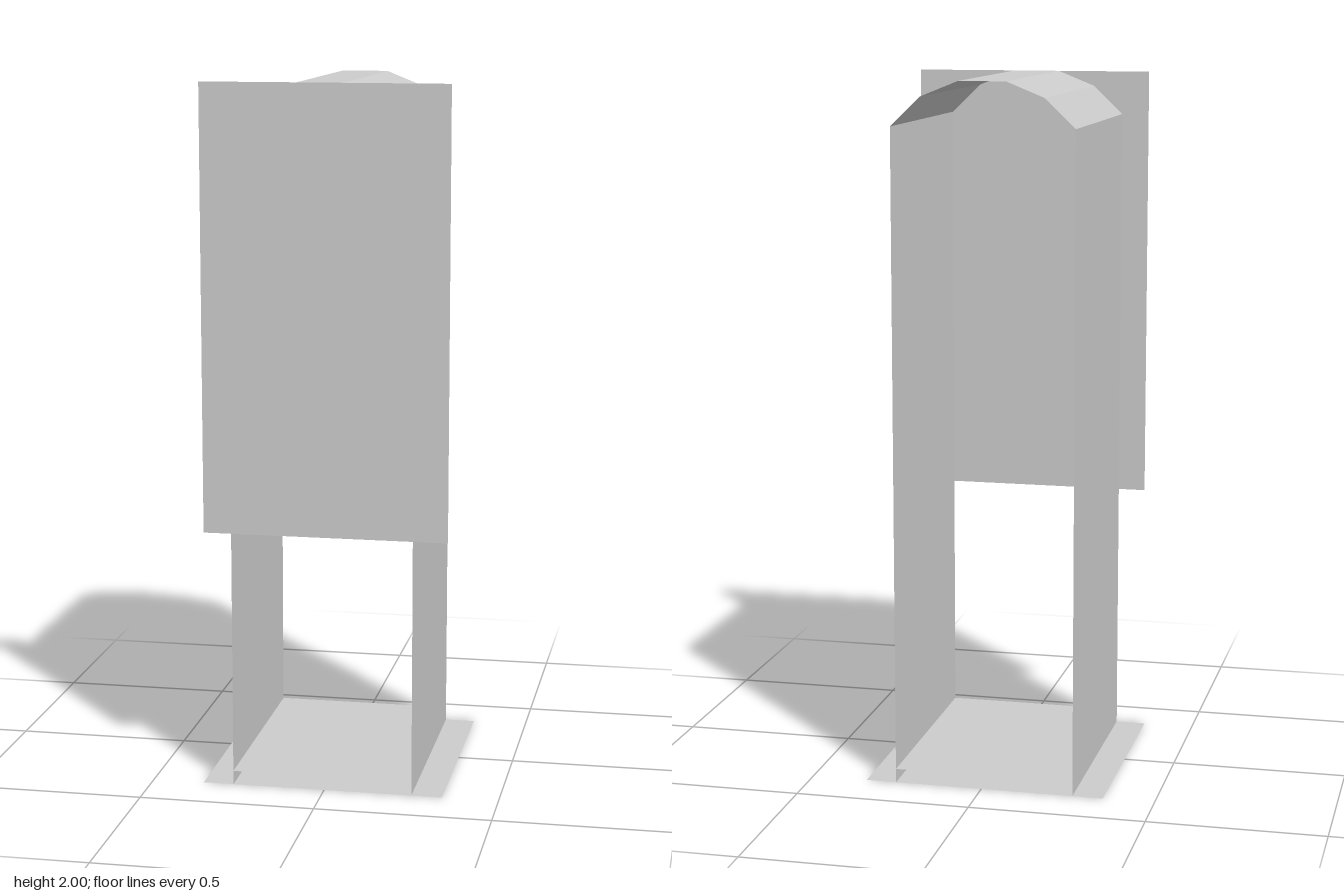
import * as THREE from 'three';

const DEPTH = 0.692;
const MID = -0.0065;   // x of the centre line between the walls
const HALF = 0.2585;   // half the distance between the walls
const EAVES = 1.875;   // height at which the arch springs

export function createModel() {
  const group = new THREE.Group();
  const material = new THREE.MeshStandardMaterial({
    color: 0xcccccc, flatShading: true, side: THREE.DoubleSide,
  });

  const add = (name, geometry, x, y, z) => {
    const mesh = new THREE.Mesh(geometry, material);
    mesh.name = name;
    mesh.position.set(x, y, z);
    group.add(mesh);
    return mesh;
  };
  const level = (width) => new THREE.PlaneGeometry(width, DEPTH).rotateX(-Math.PI / 2);

  // Base sheet and the slightly raised floor between the walls
  add('base', level(0.692), MID, 0, 0);
  add('innerFloor', level(2 * HALF), MID, 0.04, 0);

  // Side walls
  for (const [name, side] of [['leftWall', 1], ['rightWall', -1]]) {
    const wall = new THREE.PlaneGeometry(DEPTH, EAVES).rotateY(side * Math.PI / 2);
    add(name, wall, MID + side * HALF, EAVES / 2, 0);
  }

  // Arched roof: a five-strip sheet bent along a half profile mirrored in x
  const profile = [[HALF, EAVES], [0.1735, 1.957], [0.0665, 2]];
  const arch = new THREE.PlaneGeometry(2 * HALF, DEPTH, 5, 1).rotateX(-Math.PI / 2);
  const pos = arch.attributes.position;
  for (let i = 0; i < pos.count; i++) {
    const column = i % 6;
    const [x, y] = profile[Math.min(column, 5 - column)];
    pos.setX(i, column < 3 ? -x : x);
    pos.setY(i, y);
  }
  const roof = arch.toNonIndexed();
  roof.computeVertexNormals();
  add('archedRoof', roof, MID, 0, 0);

  // Upright front panel, wider than the walls and open below
  add('frontPanel', new THREE.PlaneGeometry(0.695, 1.26), 0.003, 1.37, DEPTH / 2);

  return group;
}
